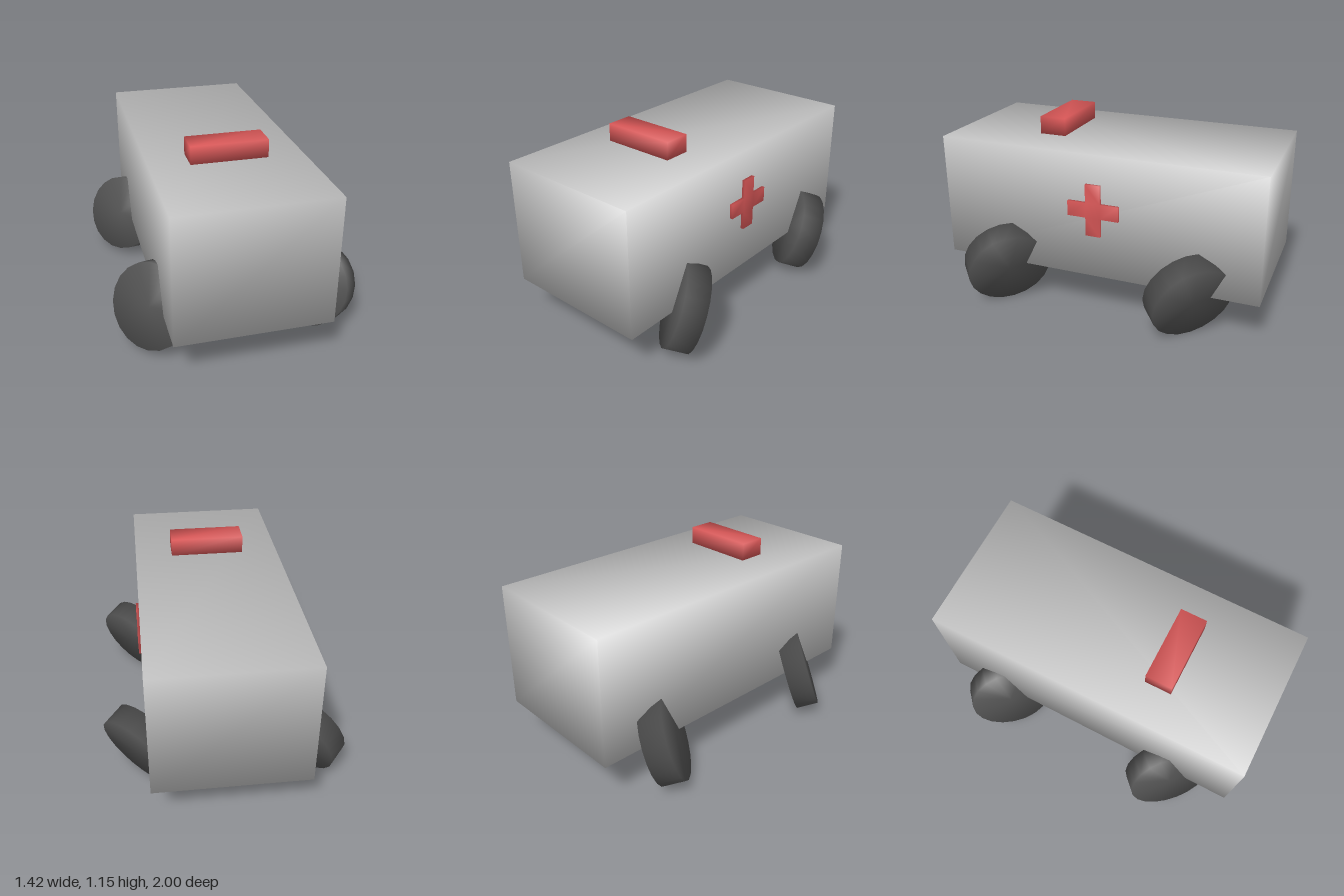
import * as THREE from 'three';
import { mergeVertices } from 'three/addons/utils/BufferGeometryUtils.js';

const paint = (name, color) => {
  const m = new THREE.MeshStandardMaterial({ color });
  m.name = name;
  return m;
};

// Weld the corners so the shading runs smoothly over every edge
function soften(geometry) {
  geometry.deleteAttribute('normal');
  geometry.deleteAttribute('uv');
  const g = mergeVertices(geometry, 1e-4);
  g.clearGroups();
  g.computeVertexNormals();
  return g;
}

export function createModel() {
  const model = new THREE.Group();
  model.name = 'van';
  const grey = paint('bodyGrey', 0xc4c4c4);
  const red = paint('signalRed', 0xd65656);
  const dark = paint('tyreGrey', 0x505050);

  const add = (name, geometry, material, x, y, z) => {
    const mesh = new THREE.Mesh(soften(geometry), material);
    mesh.name = name;
    mesh.position.set(x, y, z);
    model.add(mesh);
    return mesh;
  };

  // Body and the light bar floating just above the roof
  add('body', new THREE.BoxGeometry(0.91, 0.77, 2), grey, 0, 0.65, 0);
  add('lightBar', new THREE.BoxGeometry(0.452, 0.107, 0.163), red, 0, 1.103, 0.363);

  // Cross on the left side
  const a = 0.16, b = 0.046;
  const outline = [[b, a], [b, b], [a, b], [a, -b], [b, -b], [b, -a],
    [-b, -a], [-b, -b], [-a, -b], [-a, b], [-b, b], [-b, a]];
  const cross = new THREE.Shape(outline.map(([x, y]) => new THREE.Vector2(x, y)));
  const crossGeometry = new THREE.ExtrudeGeometry(cross, { depth: 0.025, bevelEnabled: false });
  crossGeometry.rotateY(Math.PI / 2);
  add('sideCross', crossGeometry, red, 0.449, 0.695, 0);

  // Four wheels, all turned and tilted the same way
  const axle = new THREE.Vector3(-0.68, 0.327, 0.656).normalize();
  const tilt = new THREE.Quaternion().setFromUnitVectors(new THREE.Vector3(0, 1, 0), axle);
  for (const [sideName, x] of [['Left', 0.475], ['Right', -0.475]]) {
    for (const [endName, z] of [['front', 0.593], ['back', -0.593]]) {
      const wheel = add(`${endName}${sideName}Wheel`,
        new THREE.CylinderGeometry(0.256, 0.256, 0.14, 20), dark, x, 0.266, z);
      wheel.quaternion.copy(tilt);
    }
  }
  return model;
}
